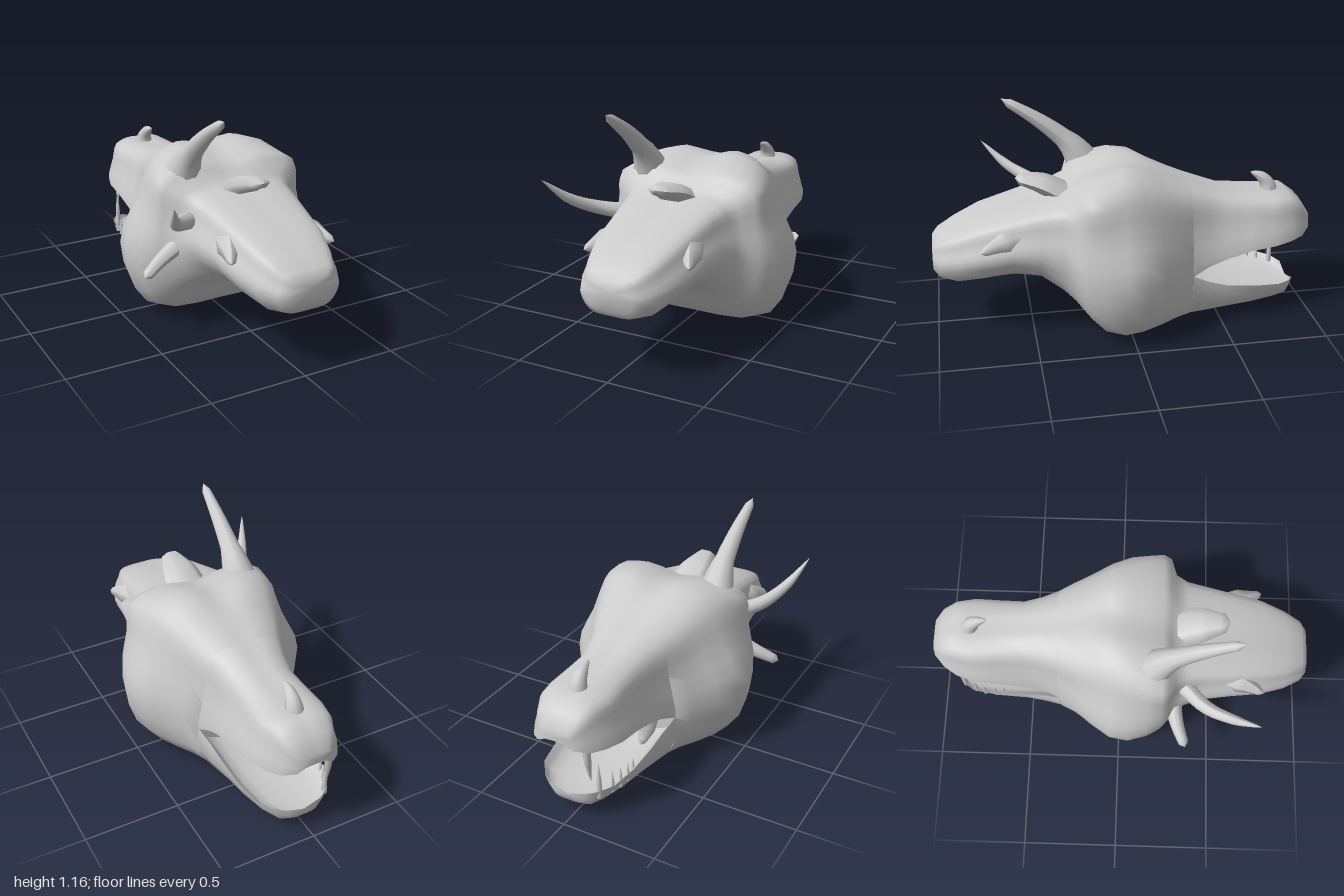
import * as THREE from 'three';
import { toCreasedNormals } from 'three/addons/utils/BufferGeometryUtils.js';

const V = (x, y, z) => new THREE.Vector3(x, y, z);
const material = new THREE.MeshStandardMaterial({ color: 0xcccccc, side: THREE.DoubleSide });

function add(parent, name, geometry) {
  const mesh = new THREE.Mesh(geometry, material);
  mesh.name = name;
  parent.add(mesh);
  return mesh;
}

// Skin over mirrored half outlines ([x, y] from bottom centre to top centre), back to front
function loft(stations, halfOutline) {
  const pos = [], index = [];
  let n = 0;
  for (const s of stations) {
    const half = halfOutline(s);
    const left = half.slice(1, -1).reverse().map(([x, y]) => [-x, y]);
    const ring = [...half, ...left].map(([x, y]) => V(x, y, s[0]));
    n = ring.length * 3;
    const curve = new THREE.CatmullRomCurve3(ring, true);
    for (let j = 0; j < n; j++) pos.push(...curve.getPoint(j / n).toArray());
  }
  const rows = stations.length;
  for (let i = 0; i < rows - 1; i++) for (let j = 0; j < n; j++) {
    const k = (j + 1) % n, a = i * n + j, b = i * n + k;
    index.push(a, a + n, b, b, a + n, b + n);
  }
  // End caps
  for (const row of [0, rows - 1]) {
    const c = V(0, 0, 0), hub = pos.length / 3;
    for (let j = 0; j < n; j++) c.add(V(0, 0, 0).fromArray(pos, (row * n + j) * 3));
    pos.push(...c.divideScalar(n).toArray());
    for (let j = 0; j < n; j++) {
      const a = row * n + j, b = row * n + (j + 1) % n;
      index.push(...(row ? [hub, b, a] : [hub, a, b]));
    }
  }
  const g = new THREE.BufferGeometry();
  g.setAttribute('position', new THREE.Float32BufferAttribute(pos, 3));
  g.setIndex(index);
  return toCreasedNormals(g, 1);
}

// Curved horn: a tube whose radius follows a list, closed at its end
function horn(points, radii, sides = 10, rows = 12) {
  const curve = new THREE.CatmullRomCurve3(points.map(p => V(...p)));
  const g = new THREE.TubeGeometry(curve, rows, 1, sides);
  const p = g.attributes.position, nor = g.attributes.normal;
  for (let i = 0; i < p.count; i++) {
    const row = Math.floor(i / (sides + 1)), t = row / rows * (radii.length - 1);
    const k = Math.min(Math.floor(t), radii.length - 2);
    const r = row === rows ? 0 : THREE.MathUtils.lerp(radii[k], radii[k + 1], t - k);
    const normal = V(0, 0, 0).fromBufferAttribute(nor, i);
    const v = V(0, 0, 0).fromBufferAttribute(p, i).addScaledVector(normal, r - 1);
    p.setXYZ(i, v.x, v.y, v.z);
  }
  g.computeVertexNormals();
  return g;
}

// Half outline from the widest level up to the crown
const upperHalf = (ym, wm, yt, wt, dip = 0) => [[wm, ym], [wm * 0.45 + wt * 0.55, (ym + yt) / 2],
  [wt, yt - (yt - ym) * 0.13], [wt * 0.5, yt], [0, yt - dip]];

export function createModel() {
  const root = new THREE.Group();
  root.name = 'hornedReptileHead';
  const head = new THREE.Group();
  head.name = 'head';
  head.position.x = 0.02;
  root.add(head);

  // Neck and skull: z, bottom y, bottom half width, mid y, mid half width, top y, top half width
  const skull = [
    [1, 0.36, 0.09, 0.43, 0.13, 0.5, 0.09],
    [0.97, 0.325, 0.12, 0.42, 0.17, 0.53, 0.13],
    [0.88, 0.31, 0.16, 0.43, 0.22, 0.575, 0.17],
    [0.75, 0.33, 0.19, 0.46, 0.265, 0.63, 0.205],
    [0.6, 0.35, 0.2, 0.49, 0.29, 0.67, 0.225],
    [0.46, 0.33, 0.22, 0.49, 0.31, 0.71, 0.245],
    [0.35, 0.25, 0.26, 0.47, 0.33, 0.735, 0.265],
    [0.29, 0.2, 0.3, 0.42, 0.37, 0.755, 0.3],
    [0.26, 0.16, 0.32, 0.4, 0.41, 0.815, 0.37],
    [0.22, 0.11, 0.35, 0.39, 0.45, 0.84, 0.385],
    [0.15, 0.035, 0.375, 0.38, 0.48, 0.855, 0.37],
    [0.05, 0.005, 0.39, 0.38, 0.505, 0.885, 0.34],
    [-0.05, 0, 0.36, 0.38, 0.49, 0.88, 0.3],
    [-0.15, 0.005, 0.31, 0.36, 0.415, 0.83, 0.265],
    [-0.25, 0.02, 0.26, 0.33, 0.325, 0.785, 0.235],
    [-0.33, 0.03, 0.23, 0.3, 0.27, 0.755, 0.2],
  ];
  add(head, 'neckAndSkull', loft(skull, ([z, yb, wb, ym, wm, yt, wt]) => {
    // The crown dips slightly between the brows
    const dip = z < 0.27 && z > -0.1 ? 0.03 : 0;
    return [[0, yb], [wb, yb + (ym - yb) * 0.14], ...upperHalf(ym, wm, yt, wt, dip)];
  }));

  // Upper jaw with an arched palate: z, lip y, lip half width, top y, top half width
  const upper = [
    [-0.33, 0.3, 0.27, 0.755, 0.2],
    [-0.42, 0.335, 0.24, 0.725, 0.17],
    [-0.52, 0.37, 0.235, 0.69, 0.15],
    [-0.65, 0.405, 0.235, 0.675, 0.155],
    [-0.78, 0.42, 0.23, 0.66, 0.165],
    [-0.88, 0.43, 0.2, 0.665, 0.145],
    [-0.95, 0.435, 0.155, 0.615, 0.12],
    [-1, 0.46, 0.1, 0.54, 0.08],
  ];
  add(head, 'upperJaw', loft(upper, ([, yl, wl, yt, wt]) => {
    const h = yt - yl;
    return [[0, yl + h * 0.28], [wl * 0.75, yl + h * 0.17], ...upperHalf(yl, wl, yt, wt)];
  }));

  // Lower jaw with a sunken floor: z, bottom y, bottom half width, lip y, lip half width
  const lower = [
    [-0.33, 0.03, 0.23, 0.3, 0.27],
    [-0.42, 0.035, 0.21, 0.25, 0.245],
    [-0.52, 0.04, 0.19, 0.215, 0.235],
    [-0.68, 0.05, 0.17, 0.195, 0.23],
    [-0.82, 0.06, 0.14, 0.18, 0.205],
    [-0.89, 0.065, 0.11, 0.17, 0.155],
    [-0.925, 0.09, 0.07, 0.16, 0.1],
  ];
  add(head, 'lowerJaw', loft(lower, ([, yb, wb, yl, wl]) => {
    const h = yl - yb;
    return [[0, yb], [wb, yb + h * 0.14], [wl, yl], [wl * 0.8, yl - h * 0.3], [0, yl - h * 0.45]];
  }));

  // Horns on the right side of the head
  add(root, 'crownHorn', horn([[-0.22, 0.77, 0.17], [-0.215, 0.88, 0.235], [-0.215, 1.02, 0.39], [-0.22, 1.16, 0.6]],
    [0.1, 0.052, 0.036, 0.02]));
  add(root, 'upperSideHorn', horn([[-0.26, 0.6, 0.34], [-0.38, 0.64, 0.45], [-0.46, 0.71, 0.58], [-0.53, 0.83, 0.71]],
    [0.045, 0.035, 0.025, 0.003]));
  add(root, 'lowerSideHorn', horn([[-0.27, 0.47, 0.28], [-0.4, 0.41, 0.31], [-0.52, 0.35, 0.36]],
    [0.05, 0.037, 0.025]));

  // Nose horn, neck spike and neck fins
  add(head, 'noseHorn', horn([[0, 0.62, -0.8], [0, 0.69, -0.785], [0, 0.73, -0.75], [0, 0.76, -0.69]],
    [0.055, 0.042, 0.028, 0.005]));
  add(head, 'neckSpike', horn([[0, 0.7, 0.3], [0, 0.77, 0.42], [0, 0.81, 0.56]],
    [0.06, 0.048, 0.022], 6)).scale.x = 2;
  for (const s of [1, -1]) {
    add(head, 'neckFin', horn([[s * 0.2, 0.57, 0.5], [s * 0.235, 0.555, 0.65], [s * 0.285, 0.53, 0.76]],
      [0.05, 0.06, 0.015], 6));
  }

  // Teeth on the right side
  add(root, 'fang', horn([[-0.1, 0.47, -0.925], [-0.105, 0.35, -0.925], [-0.11, 0.24, -0.91]], [0.024, 0.017, 0.002], 6));
  for (const [x, z, top, r] of [[-0.185, -0.65, 0.235, 0.01], [-0.185, -0.7, 0.24, 0.01],
    [-0.18, -0.76, 0.25, 0.011], [-0.165, -0.81, 0.255, 0.011], [-0.13, -0.875, 0.33, 0.016]]) {
    add(root, 'lowerTooth', horn([[x, 0.13, z], [x, (0.13 + top) / 2, z], [x, top, z]], [r, r * 0.7, 0.001], 6, 4));
  }
  add(root, 'cheekTooth', horn([[-0.15, 0.36, -0.43], [-0.15, 0.28, -0.455], [-0.15, 0.21, -0.51]], [0.06, 0.05, 0.015], 6));
  return root;
}
